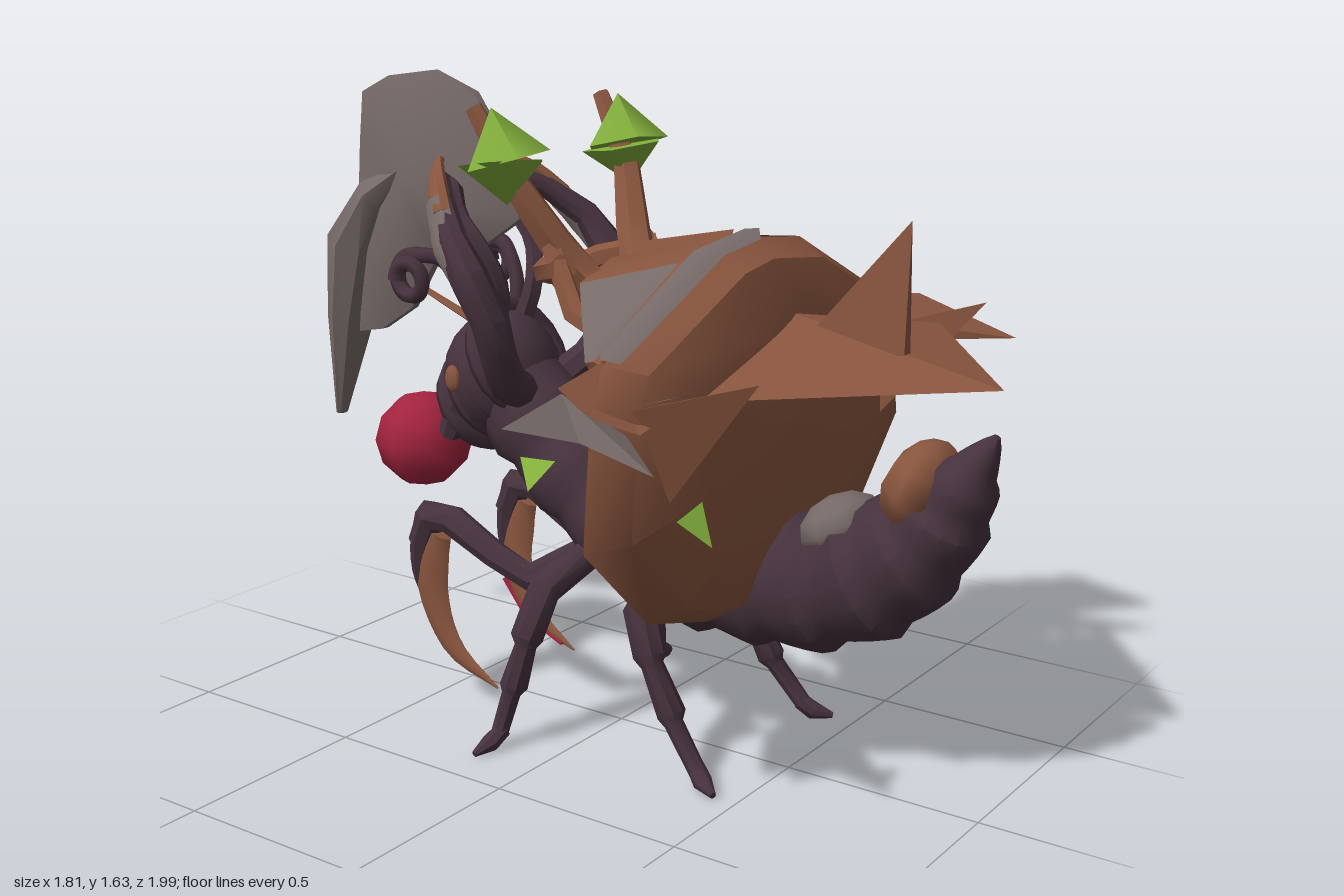
import * as THREE from 'three';
import { toCreasedNormals } from 'three/addons/utils/BufferGeometryUtils.js';

const V = (p) => new THREE.Vector3(p[0], p[1], p[2]);
const CX = 0.03; // the creature's own middle line

function createMaterials() {
  const make = (name, color) => {
    const m = new THREE.MeshStandardMaterial({ color, side: THREE.DoubleSide });
    m.name = name;
    return m;
  };
  return {
    chitin: make('dark chitin', 0x46323d),
    bark: make('brown bark', 0x8a563f),
    stone: make('grey husk', 0x766a68),
    leaf: make('leaf green', 0x82ae3c),
    berry: make('berry red', 0xa3243e),
  };
}

// Surface through rows of points
function skin(rows, closed = true) {
  const n = rows[0].length, pos = [], idx = [];
  rows.forEach((row) => row.forEach((p) => pos.push(p.x, p.y, p.z)));
  for (let i = 0; i < rows.length - 1; i++) {
    for (let j = 0; j < (closed ? n : n - 1); j++) {
      const k = (j + 1) % n, a = i * n + j, b = i * n + k;
      idx.push(a, b, a + n, b, b + n, a + n);
    }
  }
  const g = new THREE.BufferGeometry();
  g.setAttribute('position', new THREE.Float32BufferAttribute(pos, 3));
  g.setIndex(idx);
  return toCreasedNormals(g, 0.75);
}

// Round or oval tube through [x, y, z, r, r2] sections, closed at both ends
function loft(sections, sides = 10) {
  const c = sections.map(V), rows = [], X = new THREE.Vector3(1, 0, 0);
  const last = c.length - 1;
  c.forEach((p, i) => {
    const t = c[Math.min(i + 1, last)].clone().sub(c[Math.max(i - 1, 0)]).normalize();
    const u = t.clone().cross(X).normalize(), v = t.clone().cross(u);
    const ring = (k) => Array.from({ length: sides }, (_, j) => {
      const a = (j / sides) * Math.PI * 2, r = sections[i][3] * k;
      return p.clone().addScaledVector(u, Math.cos(a) * r)
        .addScaledVector(v, Math.sin(a) * (sections[i][4] ?? sections[i][3]) * k);
    });
    if (i === 0) rows.push(ring(0.001));
    rows.push(ring(1));
    if (i === last) rows.push(ring(0.001));
  });
  return skin(rows);
}

// Smoothed version of a section list
function smooth(sections, n) {
  const curve = new THREE.CatmullRomCurve3(sections.map(V));
  return Array.from({ length: n + 1 }, (_, i) => {
    const t = i / n, f = t * (sections.length - 1), k = Math.min(Math.floor(f), sections.length - 2);
    const p = curve.getPoint(t), mix = (q) => THREE.MathUtils.lerp(
      sections[k][q] ?? sections[k][3], sections[k + 1][q] ?? sections[k + 1][3], f - k);
    return [p.x, p.y, p.z, mix(3), mix(4)];
  });
}

// Bulging plate: counterclockwise outline, [scale, depth] steps from back to front
function dish(outline, [cx, cy], steps) {
  return skin(steps.map(([s, z]) => outline.map(([x, y]) =>
    new THREE.Vector3(cx + (x - cx) * s, cy + (y - cy) * s, z))));
}

// Faces from one apex to a chain of points
function fan(apex, chain, closed = false) {
  const pos = [];
  for (let i = 0; i < chain.length - (closed ? 0 : 1); i++) {
    pos.push(...apex, ...chain[i], ...chain[(i + 1) % chain.length]);
  }
  const g = new THREE.BufferGeometry();
  g.setAttribute('position', new THREE.Float32BufferAttribute(pos, 3));
  g.computeVertexNormals();
  return g;
}

export function createModel() {
  const model = new THREE.Group(), M = createMaterials();
  const add = (name, geo, mat, at) => {
    const mesh = new THREE.Mesh(geo, mat);
    mesh.name = name;
    if (at) mesh.position.set(...at);
    model.add(mesh);
    return mesh;
  };
  const ball = (name, mat, at, size, w = 14, h = 10) => {
    const mesh = add(name, new THREE.SphereGeometry(1, w, h), mat, at);
    mesh.scale.set(...size);
    return mesh;
  };

  // Overlapping body rings, head end to tail tip
  const spine = smooth([[CX, .83, -.35, .14], [CX, .67, -.2, .13], [CX, .53, -.02, .13], [CX, .455, .14, .14, .13],
    [CX, .45, .33, .15, .135], [CX, .48, .54, .165, .14], [CX, .56, .72, .165, .14], [CX, .67, .85, .115, .12],
    [CX, .79, .915, .08, .09], [CX, .905, .985, .01]], 48);
  const rings = spine.map(([x, y, z, r, r2], i) => [x, y, z, r * (.9 + .05 * (i % 4)), r2 * (.9 + .05 * (i % 4))]);
  add('segmentedBody', loft(rings, 16), M.chitin);

  // Head with ridged crown
  ball('head', M.chitin, [CX, .86, -.4], [.16, .17, .15]);
  for (let i = 0; i < 4; i++) {
    const ridge = add('headRidge', new THREE.TorusGeometry(.14 - .012 * i, .035, 6, 18), M.chitin,
      [CX, .91 - .045 * i, -.35 - .045 * i]);
    ridge.rotation.x = -.5;
  }

  // Husks on the tail
  ball('tailHusk', M.bark, [CX, .765, .81], [.135, .11, .08], 8, 6).rotation.x = .3;
  ball('tailPatch', M.stone, [CX, .635, .61], [.12, .075, .1], 9, 6).rotation.x = -.5;

  for (const s of [1, -1]) {
    const limb = (name, pts, mat, sides = 8) =>
      add(name, loft(pts.map(([x, ...rest]) => [x * s + CX, ...rest]), sides), mat);
    ball('eye', M.bark, [s * .155 + CX, .87, -.44], [.012, .035, .025], 8, 6);
    limb('jaw', [[.08, .8, -.46, .055], [.09, .71, -.5, .035], [.02, .68, -.52, .008]], M.chitin);

    // Walking legs
    limb('rearLeg', [[.06, .42, .12, .04], [.2, .39, .18, .045], [.22, .29, .22, .042], [.225, .27, .23, .028],
      [.23, .16, .29, .036], [.235, .14, .3, .024], [.25, .04, .38, .022]], M.chitin);
    limb('rearFoot', [[.245, .05, .37, .022], [.26, .025, .4, .024], [.285, .013, .445, .008]], M.chitin);
    limb('middleLeg', [[.06, .46, -.06, .04], [.23, .4, -.09, .045], [.28, .28, -.11, .042], [.285, .26, -.11, .028],
      [.315, .16, -.125, .036], [.32, .14, -.13, .024], [.35, .04, -.145, .022]], M.chitin);
    limb('middleFoot', [[.34, .05, -.14, .022], [.38, .025, -.15, .024], [.43, .01, -.16, .008]], M.chitin);

    // Low scythe legs
    limb('scytheLeg', [[.06, .44, -.1, .04], [.15, .38, -.2, .04], [.17, .43, -.3, .035],
      [.18, .5, -.43, .04], [.18, .5, -.5, .045], [.18, .42, -.54, .035]], M.chitin);
    limb('lowScythe', smooth([[.18, .46, -.48, .045, .025], [.18, .38, -.505, .06, .025], [.175, .26, -.5, .05, .02],
      [.17, .14, -.44, .033, .015], [.165, .06, -.3, .003, .002]], 14), M.bark);
    limb('scytheSpine', smooth([[.18, .5, -.5, .045], [.18, .41, -.535, .034], [.178, .33, -.545, .022],
      [.175, .26, -.54, .003]], 8), M.chitin);

    // Raised scythe arms
    limb('raisedArm', [[.07, .84, -.28, .05], [.17, .89, -.25, .05], [.24, .98, -.22, .045], [.26, 1.06, -.225, .048],
      [.285, 1.17, -.27, .048], [.27, 1.25, -.33, .036], [.2, 1.33, -.42, .03], [.11, 1.37, -.5, .022]], M.chitin);
    limb('armHusk', smooth([[.285, 1.16, -.29, .03], [.275, 1.23, -.34, .045, .03], [.22, 1.33, -.42, .035, .025]], 6), M.stone);
    limb('raisedScythe', smooth([[.24, 1.3, -.385, .03, .028], [.19, 1.365, -.445, .03, .022],
      [.11, 1.405, -.51, .022, .015], [.03, 1.41, -.56, .002]], 10), M.bark);

    // Curled feelers
    const coil = [V([s * .06 + CX, .96, -.42]), V([s * .1 + CX, 1.08, -.43]), V([s * .13 + CX, 1.17, -.49])];
    for (let i = 0; i <= 14; i++) {
      const a = 1.9 - i * .6, r = .06 - i * .002;
      coil.push(V([s * (.15 + i * .003) + CX, 1.12 + Math.sin(a) * r, -.56 - Math.cos(a) * r]));
    }
    add('feeler', new THREE.TubeGeometry(new THREE.CatmullRomCurve3(coil), 60, .021, 6), M.chitin);
    limb('innerFeeler', smooth([[.05, .98, -.38, .03], [.07, 1.1, -.35, .025], [.1, 1.2, -.38, .022],
      [.1, 1.28, -.45, .02], [.08, 1.34, -.5, .035], [.07, 1.37, -.53, .015]], 14), M.chitin, 6);

    // Forked twigs with buds
    limb('twig', [[.03, 1.1, .1, .05], [.1, 1.14, -.03, .05], [.16, 1.25, -.1, .045],
      [.23, 1.4, -.17, .035], [.255, 1.57, -.27, .022]], M.bark, 6);
    limb('crossTwig', [[.2, 1.2, -.05, .035], [.11, 1.17, -.17, .035], [-.02, 1.14, -.21, .03]], M.bark, 6);
    limb('sideTwig', [[.2, 1.0, .2, .03], [.22, 1.1, 0, .03], [.17, 1.28, -.12, .025]], M.bark, 6);
    const bud = add('bud', new THREE.ConeGeometry(.11, .13, 5), M.leaf, [s * .25 + CX, 1.51, -.2]);
    bud.rotation.set(-.2, s * .6, -s * .1);
    const cup = add('budBase', new THREE.ConeGeometry(.11, .1, 5), M.leaf, [s * .248 + CX, 1.395, -.18]);
    cup.rotation.set(Math.PI - .2, -s * .6, -s * .1);

    // Shell side thorns
    const x = s * .5 + CX * (s + 1) / 2;
    add('sideThorn', fan([x + s * .02, 1.09, .71], [[x - .05, 1.0, .42], [x + .05, .98, .38], [x - s * .05, .74, .42]], true), M.bark);
  }
  add('thornGreyFace', fan([-.55, 1.008, .42], [[-.45, .99, .38], [-.482, 1.04, .54], [-.538, 1.049, .55]]), M.stone);
  add('smallBud', new THREE.OctahedronGeometry(.075), M.leaf, [.02, 1.15, -.19]);

  // Broad shell
  add('shell', dish([[.71, .74], [.68, .9], [.59, 1.1], [.25, 1.26], [0, 1.29], [-.14, 1.27], [-.56, 1.09], [-.6, 1],
    [-.63, .69], [-.39, .46], [-.14, .39], [.1, .38], [.44, .46]], [0, .87],
  [[.001, .22], [.45, .225], [.8, .26], [1, .35], [.9, .43], [.55, .48], [.001, .5]]), M.bark);

  // Shell roof with one grey corner
  const roof = [
    [[-.56, 1.09, .34], [-.14, 1.27, .34], [.03, 1.29, .34], [.25, 1.26, .34], [.59, 1.1, .33]],
    [[-.47, 1.07, .26], [-.14, 1.24, .26], [.03, 1.27, .24], [.24, 1.23, .26], [.56, 1.09, .28]],
    [[-.42, 1.05, .2], [-.17, 1.17, 0], [.03, 1.2, -.05], [.2, 1.17, .02], [.51, 1.05, .14]],
    [[-.4, .95, .26], [-.15, 1, .2], [.03, 1, .18], [.2, 1, .2], [.45, .95, .26]],
  ].map((row) => row.map(V));
  add('roof', skin(roof.map((r) => r.slice(1)), false), M.bark);
  add('roofFrontCorner', skin(roof.slice(0, 2).map((r) => r.slice(0, 2)), false), M.bark);
  add('roofGreyCorner', skin(roof.slice(1, 3).map((r) => r.slice(0, 2)), false), M.stone);
  add('roofUnderside', skin(roof.slice(2).map((r) => r.slice(0, 2)), false), M.bark);
  add('greyRim', skin([
    [[-.5, 1.1, .3], [-.14, 1.272, .3], [.06, 1.298, .31]],
    [[-.56, 1.102, .345], [-.14, 1.284, .345], [.07, 1.302, .345]],
    [[-.535, 1.092, .38], [-.135, 1.268, .38], [.02, 1.285, .38]],
  ].map((row) => row.map(V)), false), M.stone);

  // Shell wings, front plate and crest thorns
  add('rightWing', fan([-.36, 1.04, .2], [[-.61, 1.04, .27], [-.65, 1.0, .38], [-.58, .96, .46], [-.45, .97, .44]]), M.bark);
  add('rightWingTip', fan([-.61, 1.03, .28], [[-.91, 1.03, .36], [-.76, .98, .44], [-.76, .94, .62], [-.6, .96, .44]]), M.stone);
  add('leftWing', fan([.5, 1.02, .38], [[.49, 1.05, .06], [.56, 1.04, .13], [.6, 1.04, .06], [.9, 1.02, .355],
    [.86, .94, .66], [.55, .96, .43]]), M.bark);
  add('frontPlate', fan([.03, 1.12, .47], [[-.38, .99, .46], [.03, 1.01, .995], [.48, 1.04, .62], [.3, 1, .42]], true), M.bark);
  add('frontPlateBase', fan([.03, 1.01, .995], [[-.38, .99, .46], [.3, 1, .42], [.48, 1.04, .62]]), M.bark);
  add('frontThorn', fan([.03, 1.36, .76], [[.015, 1.06, .76], [.01, 1, .45], [.05, 1, .45], [.045, 1.06, .76]], true), M.bark);
  add('roofThorn', fan([.03, 1.24, 0], [[0, 1.2, .25], [.03, 1.3, .3], [.06, 1.2, .25]], true), M.bark);
  add('looseLeaf', fan([-.49, .83, .07], [[-.59, .79, .17], [-.53, .85, .2]]), M.leaf);
  add('sideLeaf', fan([-.54, .83, .59], [[-.53, .73, .61], [-.53, .77, .52]]), M.leaf);

  // Tall sail and its drooping fold
  const sail = add('sail', dish([[.33, 1.27], [.45, 1.19], [.6, 1.16], [.7, 1], [.81, .93], [.91, .91], [.96, 1.15],
    [.88, 1.3], [.87, 1.43], [.855, 1.565], [.76, 1.61], [.61, 1.63], [.475, 1.58], [.385, 1.455]], [.68, 1.32],
  [[.001, -.055], [.55, -.05], [1, -.012], [1, .012], [.55, .05], [.001, .055]]), M.stone, [CX, 0, 0]);
  sail.rotation.y = Math.PI / 2;
  add('sailFold', loft([[CX, 1.4, -.66, .01, .04], [CX, 1.3, -.8, .06, .085], [CX, 1.16, -.89, .085, .1],
    [CX, .95, -.935, .055, .075], [CX, .67, -.985, .012, .02]], 8), M.stone);
  add('sailStem', loft([[CX, .99, -.5, .012], [CX, 1.06, -.68, .008]], 5), M.bark);

  // Berry and a red streak on one low scythe
  ball('berry', M.berry, [.02, .645, -.67], [.135, .13, .13], 8, 6);
  add('scytheStreak', loft([[.205, .22, -.54, .008, .02], [.2, .13, -.465, .008, .018], [.195, .07, -.34, .005, .01]], 6), M.berry);
  return model;
}
